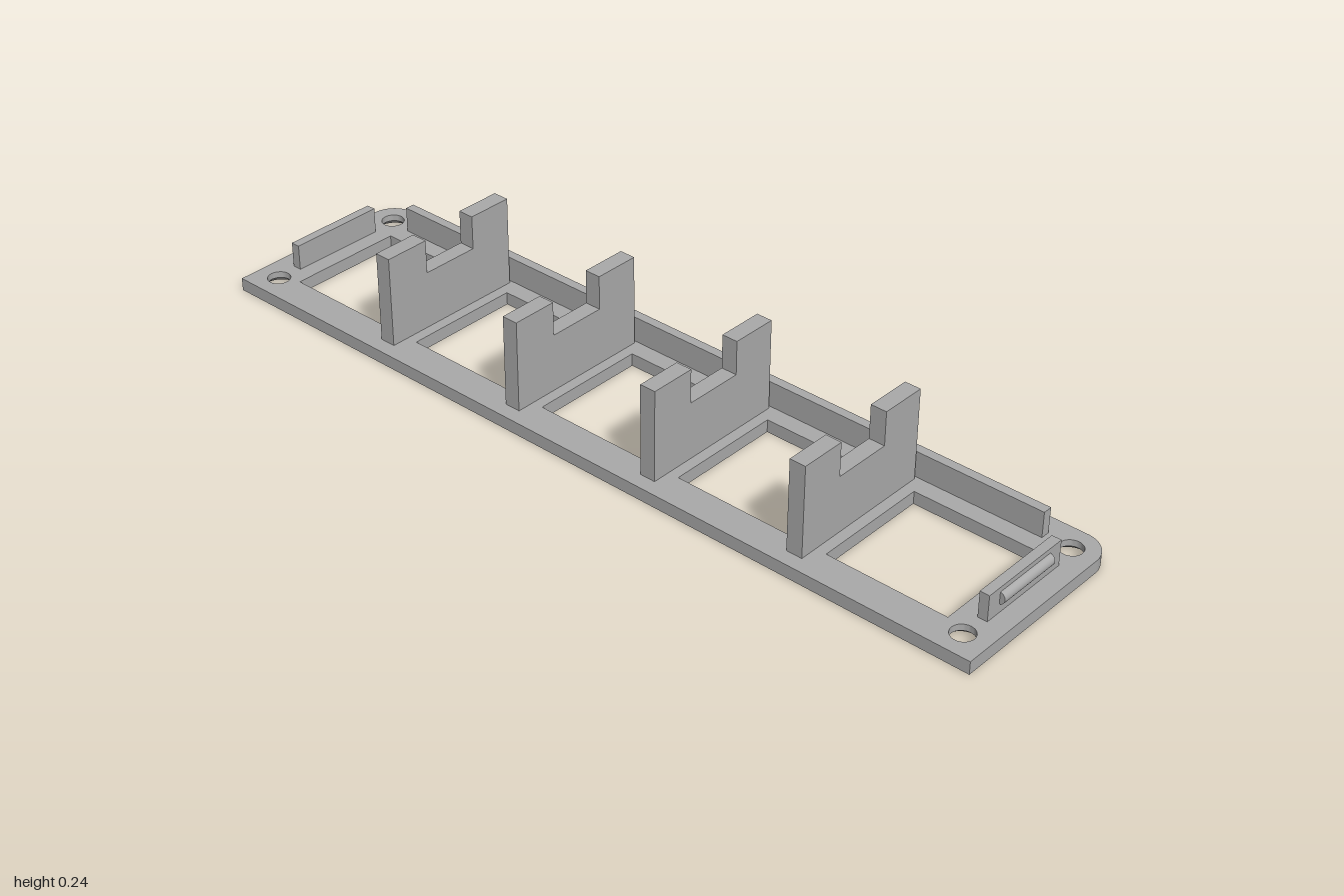
import * as THREE from 'three';
import { toCreasedNormals } from 'three/addons/utils/BufferGeometryUtils.js';

const gray = new THREE.MeshStandardMaterial({ color: 0xaaaaaa });
gray.name = 'gray plastic';

const PLATE_T = 0.03;
const HALF_D = 0.232;
const SCREWS = [[-0.941, -0.174], [0.941, -0.174], [-0.941, 0.174], [0.941, 0.174]];

function part(name, geometry) {
  const mesh = new THREE.Mesh(geometry, gray);
  mesh.name = name;
  return mesh;
}

// Flat frame: rounded back corners, five windows, countersunk screw holes
function makePlate() {
  const r = 0.06, outer = 0.043, inner = 0.026;
  const s = new THREE.Shape();
  s.moveTo(-1, -HALF_D);
  s.lineTo(1, -HALF_D);
  s.lineTo(1, HALF_D - r);
  s.absarc(1 - r, HALF_D - r, r, 0, Math.PI / 2);
  s.lineTo(-1 + r, HALF_D);
  s.absarc(-1 + r, HALF_D - r, r, Math.PI / 2, Math.PI);
  s.closePath();

  for (let i = -2; i <= 2; i++) {
    const x = i * 0.375, w = 0.143;
    s.holes.push(new THREE.Path([
      [x - w, -0.155], [x - w, 0.121], [x + w, 0.121], [x + w, -0.155],
    ].map(([a, b]) => new THREE.Vector2(a, b))));
  }
  for (const [x, y] of SCREWS) {
    const hole = new THREE.Path();
    hole.absarc(x, y, outer, 0, Math.PI * 2, true);
    s.holes.push(hole);
  }
  const geo = new THREE.ExtrudeGeometry(s, {
    depth: PLATE_T, steps: 2, bevelEnabled: false, curveSegments: 16,
  });

  // Narrow the screw holes above the underside, leaving a countersink below
  const p = geo.attributes.position;
  for (let i = 0; i < p.count; i++) {
    if (p.getZ(i) < PLATE_T * 0.25) continue;
    for (const [x, y] of SCREWS) {
      const dx = p.getX(i) - x, dy = p.getY(i) - y;
      if (Math.abs(Math.hypot(dx, dy) - outer) > 0.001) continue;
      p.setXY(i, x + dx * inner / outer, y + dy * inner / outer);
      break;
    }
  }
  geo.rotateX(-Math.PI / 2);
  return part('basePlate', toCreasedNormals(geo, 0.5));
}

// Upright divider with a notch in its top edge
function makeDivider(x) {
  const w = 0.038;
  const profile = new THREE.Shape([
    [-0.197, PLATE_T], [0.156, PLATE_T], [0.156, 0.243], [0.048, 0.243],
    [0.048, 0.164], [-0.09, 0.164], [-0.09, 0.243], [-0.197, 0.243],
  ].map(([a, b]) => new THREE.Vector2(a, b)));
  const geo = new THREE.ExtrudeGeometry(profile, { depth: w, bevelEnabled: false });
  geo.translate(0, 0, -w / 2);
  geo.rotateY(Math.PI / 2);
  const mesh = part('divider', geo);
  mesh.position.x = x;
  return mesh;
}

// Low wall along z with half-round snap ridges on its +x face
function makeSnapWall(name, length, ridgeCentres) {
  const t = 0.022, h = 0.06;
  const group = new THREE.Group();
  group.name = name;
  const wall = part('wall', new THREE.BoxGeometry(t, h, length));
  wall.position.y = PLATE_T + h / 2;
  group.add(wall);
  for (const z of ridgeCentres) {
    const geo = new THREE.CylinderGeometry(0.014, 0.014, 0.16, 20, 1, false, 0, Math.PI);
    geo.rotateX(Math.PI / 2);
    const ridge = part('snapRidge', geo);
    ridge.position.set(t / 2 - 0.002, 0.065, z);
    group.add(ridge);
  }
  return group;
}

export function createModel() {
  const model = new THREE.Group();
  model.name = 'ventFrame';
  model.add(makePlate());

  for (const x of [-0.5625, -0.1875, 0.1875, 0.5625]) model.add(makeDivider(x));

  const back = makeSnapWall('backWall', 1.762, [-0.4, 0.4]);
  back.rotation.y = Math.PI / 2;
  back.position.z = -0.174;
  model.add(back);

  for (const side of [1, -1]) {
    const wall = makeSnapWall(side > 0 ? 'leftWall' : 'rightWall', 0.23, [0]);
    wall.rotation.y = side > 0 ? 0 : Math.PI;
    wall.position.set(side * 0.944, 0, 0.003);
    model.add(wall);
  }
  return model;
}
